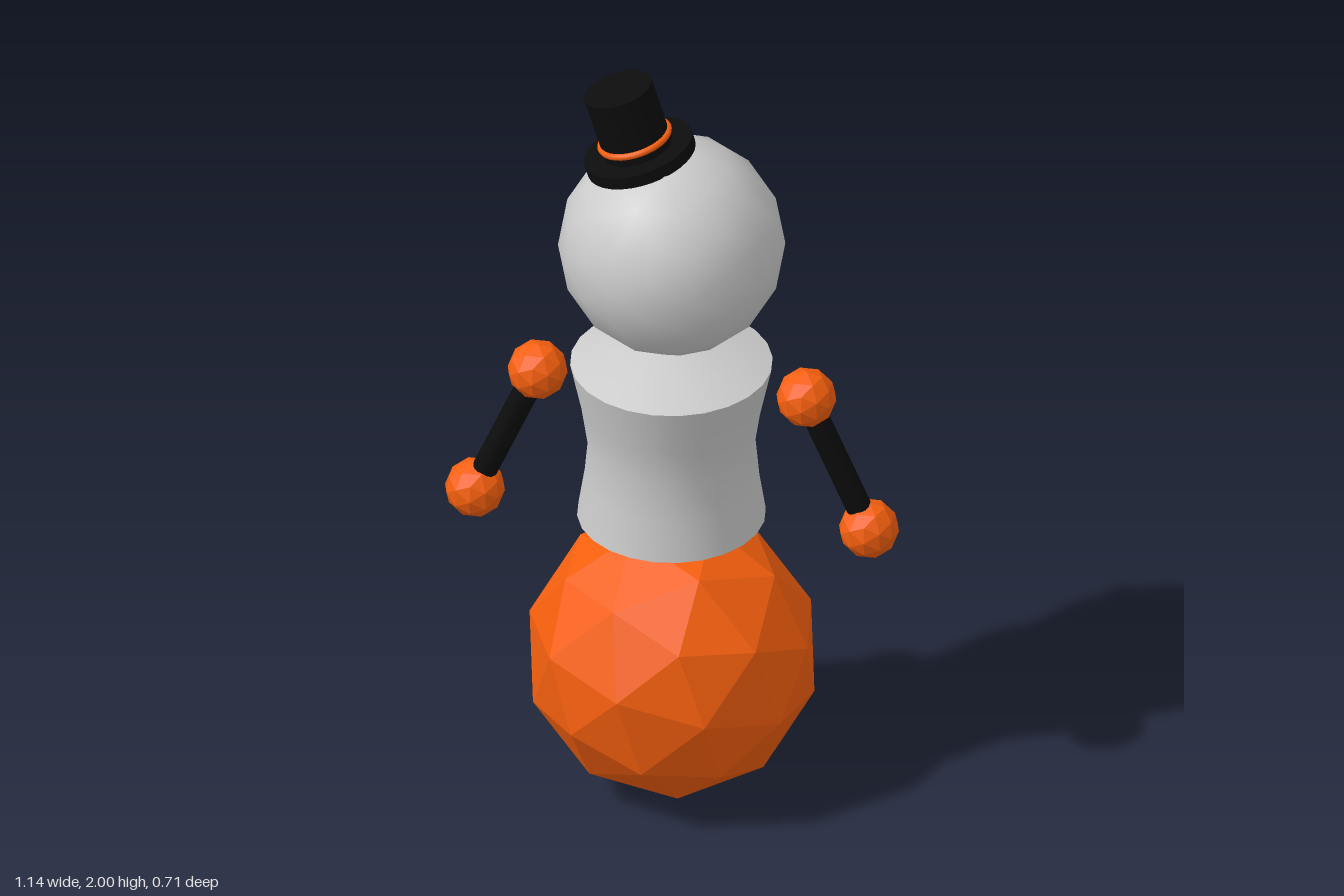
import * as THREE from 'three';

const mat = (color, flatShading = false) => new THREE.MeshStandardMaterial({ color, flatShading });
const V = (x, y, z = 0) => new THREE.Vector3(x, y, z);

export function createModel() {
  const root = new THREE.Group();
  const orange = mat(0xf55f0e, true);
  const band = mat(0xf55f0e);
  const black = mat(0x0c0c0c);
  const grey = mat(0xcccccc);
  const greyLathe = mat(0xcccccc);
  greyLathe.side = THREE.DoubleSide;

  const add = (name, geometry, material, pos = V(0, 0), parent = root) => {
    const mesh = new THREE.Mesh(geometry, material);
    mesh.name = name;
    mesh.position.copy(pos);
    parent.add(mesh);
    return mesh;
  };

  // Basis with a given z axis and a hint for the x axis
  const basis = (z, xHint) => {
    const zAxis = z.clone().normalize();
    const yAxis = zAxis.clone().cross(xHint).normalize();
    return new THREE.Matrix4().makeBasis(yAxis.clone().cross(zAxis), yAxis, zAxis);
  };

  // Faceted base ball, turned so one facet group nearly faces the front
  const ball = new THREE.IcosahedronGeometry(0.365, 1);
  const from = basis(V(1, 1, 1), V(1, 1.618, 0));
  const az = THREE.MathUtils.degToRad(75);
  const to = basis(V(0.02, -0.033, 0.34), V(Math.cos(az), Math.sin(az), 0));
  ball.applyMatrix4(to.multiply(from.invert()));
  add('baseBall', ball, orange, V(-0.004, 0.355, 0));

  // Waisted torso: separate lathes keep the rims sharp
  const torso = new THREE.Group();
  torso.name = 'torso';
  torso.position.set(-0.004, 0, 0.008);
  root.add(torso);
  const lathe = (name, points) => add(name,
    new THREE.LatheGeometry(points.map(([r, y]) => new THREE.Vector2(r, y)), 24), greyLathe, V(0, 0), torso);
  lathe('torsoBottom', [[0, 0.69], [0.11, 0.70], [0.233, 0.768]]);
  lathe('torsoSide', [[0.233, 0.768], [0.217, 0.87], [0.207, 0.98], [0.222, 1.08], [0.25, 1.21]]);
  lathe('torsoTop', [[0.25, 1.21], [0.09, 1.272], [0, 1.275]]);

  // Head and eyes; the face looks toward -z
  add('head', new THREE.IcosahedronGeometry(0.28, 2), grey, V(-0.006, 1.545, -0.006));
  for (const side of [-1, 1])
    add(side > 0 ? 'leftEye' : 'rightEye', new THREE.SphereGeometry(0.028, 12, 8), black,
      V(-0.006 + side * 0.107, 1.54, -0.252));

  // Arms: faceted shoulder and hand joined by a rod
  for (const side of [-1, 1]) {
    const arm = new THREE.Group();
    arm.name = side > 0 ? 'leftArm' : 'rightArm';
    root.add(arm);
    const shoulder = V(-0.004 + side * 0.337, 1.14);
    const hand = V(-0.004 + side * 0.494, 0.775);
    const joint = new THREE.IcosahedronGeometry(0.075, 1);
    add('shoulder', joint, orange, shoulder, arm);
    add('hand', joint, orange, hand, arm);
    const dir = hand.clone().sub(shoulder);
    const rod = add('armRod', new THREE.CylinderGeometry(0.032, 0.032, dir.length(), 16), black,
      shoulder.clone().add(hand).multiplyScalar(0.5), arm);
    rod.quaternion.setFromUnitVectors(V(0, 1), dir.normalize());
  }

  // Tilted top hat
  const hat = new THREE.Group();
  hat.name = 'hat';
  hat.position.set(-0.088, 1.795, -0.017);
  hat.rotation.z = THREE.MathUtils.degToRad(17);
  root.add(hat);
  add('hatBrim', new THREE.CylinderGeometry(0.139, 0.139, 0.032, 32), black, V(0, 0), hat);
  add('hatCrown', new THREE.CylinderGeometry(0.087, 0.087, 0.19, 32), black, V(0, 0.094), hat);
  add('hatBand', new THREE.TorusGeometry(0.087, 0.009, 8, 32).rotateX(Math.PI / 2), band, V(0, 0.045), hat);

  return root;
}
